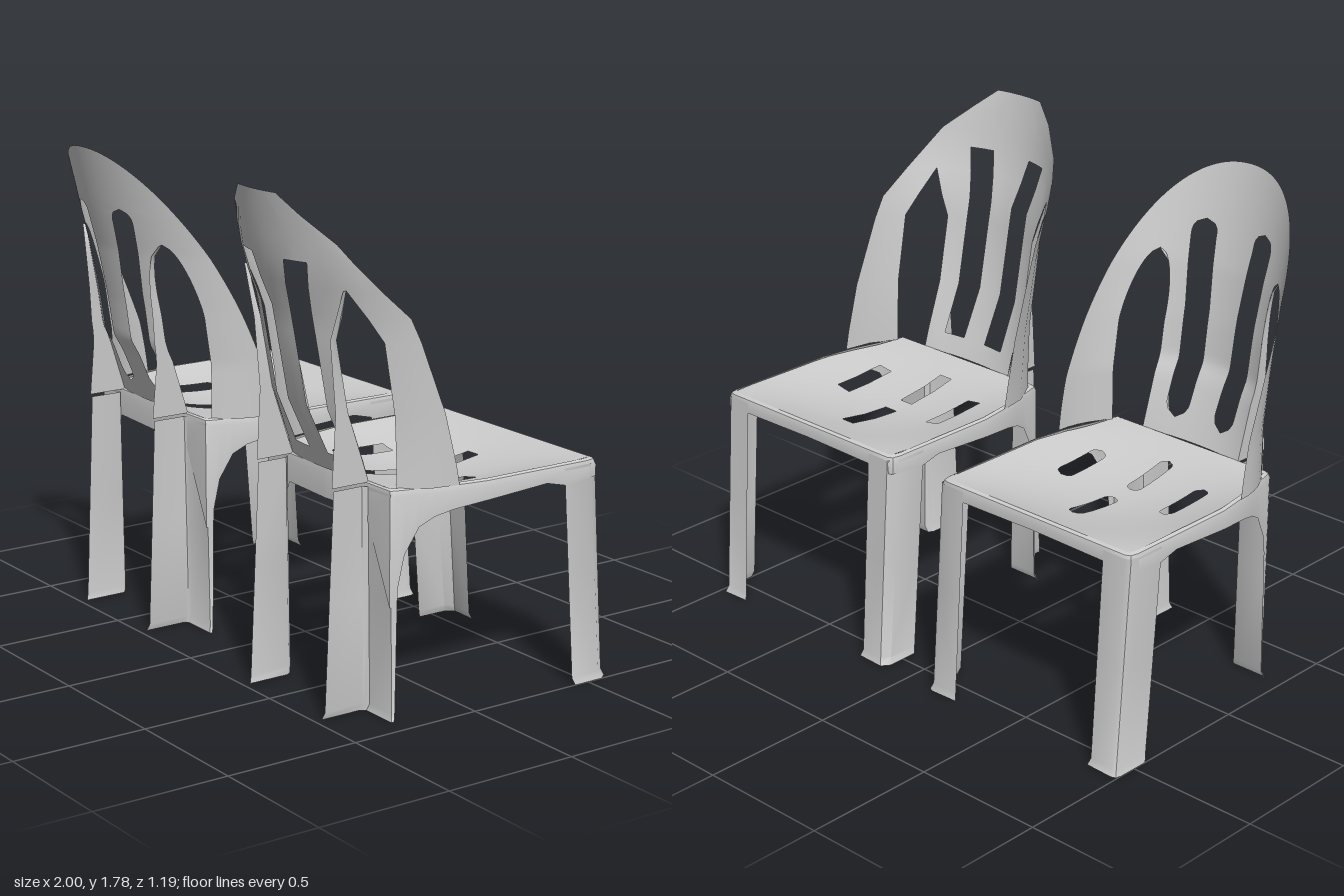
import * as THREE from 'three';
import { toCreasedNormals } from 'three/addons/utils/BufferGeometryUtils.js';

const material = new THREE.MeshStandardMaterial({ color: 0xcccccc, side: THREE.DoubleSide });

// Piecewise-linear lookup in a [[key, value], ...] table
function lerpTable(table, v) {
  if (v <= table[0][0]) return table[0][1];
  for (let i = 1; i < table.length; i++) {
    const [k0, v0] = table[i - 1], [k1, v1] = table[i];
    if (v <= k1) return v0 + (v1 - v0) * (v - k0) / (k1 - k0);
  }
  return table[table.length - 1][1];
}

function meshFrom(positions, name) {
  const g = new THREE.BufferGeometry();
  g.setAttribute('position', new THREE.Float32BufferAttribute(positions, 3));
  const mesh = new THREE.Mesh(toCreasedNormals(g, 0.75), material);
  mesh.name = name;
  return mesh;
}

function pushQuad(out, a, b, c, d) {
  out.push(...a, ...b, ...c, ...a, ...c, ...d);
}

// Surface through rows of points
function ribbon(rows, name) {
  const out = [];
  for (let i = 0; i + 1 < rows.length; i++)
    for (let j = 0; j + 1 < rows[i].length; j++)
      pushQuad(out, rows[i][j], rows[i][j + 1], rows[i + 1][j + 1], rows[i + 1][j]);
  return meshFrom(out, name);
}

// Mirrored panel: columns run from the middle to the rim, some strips are open between rows
function panel(rows, columnsAt, isOpen, place, sub, name) {
  const out = [];
  for (let r = 0; r + 1 < rows.length; r++) {
    const v0 = rows[r], v1 = rows[r + 1], c0 = columnsAt(v0), c1 = columnsAt(v1);
    for (let s = 0; s + 1 < c0.length; s++) {
      if (isOpen(s, (v0 + v1) / 2)) continue;
      for (let k = 0; k < sub; k++) {
        const at = (c, f) => c[s] + (c[s + 1] - c[s]) * f / sub;
        const q = [place(at(c0, k), v0), place(at(c0, k + 1), v0), place(at(c1, k + 1), v1), place(at(c1, k), v1)];
        pushQuad(out, ...q);
        const m = q.map(([x, y, z]) => [-x, y, z]);
        pushQuad(out, m[1], m[0], m[3], m[2]);
      }
    }
  }
  return meshFrom(out, name);
}

// Half width of a slot running from a to b, with rounded or square ends
function slotHalf(v, a, b, half, round) {
  if (v < a - 1e-6 || v > b + 1e-6) return round ? 0 : half;
  if (!round) return half;
  const d = Math.min(v - a, b - v);
  return d >= half ? half : Math.sqrt(Math.max(0, half * half - (half - d) ** 2));
}

const steps = (n, f) => Array.from({ length: n + 1 }, (_, i) => f(i / n));

function addBackrest(chair, fine) {
  const angle = x => Math.asin(Math.min(1, x / 0.42));
  const lean = fine
    ? [[0.8, 0.42], [1, 0.42], [1.2, 0.45], [1.4, 0.487], [1.55, 0.525], [1.775, 0.58]]
    : [[0.8, 0.42], [1, 0.42], [1.37, 0.485], [1.52, 0.54], [1.785, 0.595]];
  // The plan is an ellipse arc; the middle swings forward to meet the seat
  const place = (t, y) => {
    const low = Math.max(0, Math.min(1, (1.06 - y) / 0.26));
    const swing = t < 0.8 ? 0.115 * low * (1 - t * t) : 0;
    return [0.42 * Math.sin(t), y, lerpTable(lean, y) - 0.36 * (1 - Math.cos(t)) - swing];
  };
  const rim = y => fine
    ? 1.57 * Math.pow(Math.max(0, 1 - Math.pow((y - 0.8) / 0.975, 1.3)), 0.457)
    : lerpTable([[0.8, 1.57], [1.37, 1.25], [1.63, 0.75], [1.785, 0.26]], y);
  const slotTop = 1.56, openTop = fine ? 1.44 : 1.475;
  const opening = y => {
    const t = Math.max(0, Math.min(1, fine ? (y - 1.18) / 0.26 : (y - 1.3) / 0.175));
    const h = 0.0625 * (fine ? Math.sqrt(1 - t * t) : 1 - t);
    const c = 0.2825 + (fine ? -0.018 : 0.002) * t;
    return [c - h, c + h];
  };
  const limit = [0, 0.45, 0.55, 0.85, 0.92, 1];
  const columns = y => {
    const c = fine ? lerpTable([[0.87, 0.105], [1.25, 0.11], [1.5, 0.13]], y)
      : lerpTable([[1.38, 0.1], [1.56, 0.1375]], y);
    const h = slotHalf(y, 0.87, slotTop, 0.046, fine);
    const edge = rim(y);
    return [0, angle(c - h), angle(c + h), ...opening(y).map(angle), edge]
      .map((t, i) => Math.min(t, edge * limit[i]));
  };
  const rows = fine ? steps(72, f => 0.8 + 0.975 * Math.sin(f * Math.PI / 2))
    : [0.8, 0.87, 1.05, 1.3, 1.38, 1.475, 1.56, 1.63, 1.72, 1.785];
  const isOpen = (s, y) => (s === 1 && y > 0.87 && y < slotTop) || (s === 3 && y < openTop);
  chair.add(panel(rows, columns, isOpen, place, fine ? 5 : 2, 'backrest'));

  // Stiffening flange behind each edge of the middle panel
  const depth = [[0.8, 0.15], [1.05, 0.05], [1.44, 0.012]];
  const flangeRows = (fine ? steps(16, f => 0.8 + 0.64 * f) : [0.8, 1.05, 1.3, 1.475]).map(y => {
    const [x, , z] = place(angle(opening(y)[0]), y);
    return [[x, y, z], [x, y, z + lerpTable(depth, y)]];
  });
  addPair(chair, () => ribbon(flangeRows, 'backFlange'));
}

// Adds a part and its mirror image
function addPair(chair, make) {
  for (const side of [1, -1]) {
    const part = make();
    part.name = (side > 0 ? 'left ' : 'right ') + part.name;
    part.scale.x = side;
    chair.add(part);
  }
}

function addSeat(chair, fine) {
  const width = [[-0.53, 0.425], [-0.49, 0.44], [-0.05, 0.44], [0.08, 0.42], [0.29, 0.36]];
  const middle = [[-0.33, -0.11], [-0.03, 0.18]], outer = [-0.13, 0.09];
  const inside = (z, [a, b]) => z > a && z < b;
  const columns = z => {
    const m = z < -0.07 ? middle[0] : middle[1];
    const h0 = slotHalf(z, ...m, 0.028, fine), h1 = slotHalf(z, ...outer, 0.03, fine);
    return [0, h0, 0.235 - h1, 0.235 + h1, lerpTable(width, z) * 0.955];
  };
  const isOpen = (s, z) => (s === 0 && middle.some(m => inside(z, m))) || (s === 2 && inside(z, outer));
  // Shallow dish
  const place = (x, z) => {
    const a = x / 0.43, b = (z + 0.11) / 0.4;
    return [x, 0.805 - 0.075 * Math.max(0, 1 - a * a) * Math.max(0, 1 - b * b), z];
  };
  const rows = fine ? steps(80, f => -0.51 + 0.8 * f)
    : [-0.51, -0.42, -0.33, -0.22, -0.13, -0.11, -0.03, 0.09, 0.18, 0.24, 0.29];
  chair.add(panel(rows, columns, isOpen, place, fine ? 5 : 3, 'seat'));

  // Skirt under the seat edge: x, z and lower height, from front middle to rear middle
  const path = [[0, -0.53, 0.755], [0.32, -0.53, 0.75], [0.415, -0.53, 0.74], [0.433, -0.52, 0.74],
    [0.44, -0.49, 0.74], [0.44, -0.38, 0.73], [0.44, -0.3, 0.75], [0.44, -0.05, 0.735], [0.42, 0.08, 0.72],
    [0.4, 0.15, 0.7], [0.385, 0.2, 0.67], [0.372, 0.25, 0.58], [0.362, 0.285, 0.4], [0.355, 0.298, 0.4],
    [0.22, 0.3, 0.7], [0, 0.305, 0.695]];
  addPair(chair, () => ribbon([
    path.map(([x, z]) => [x * 0.955, 0.805, z * 0.962]),
    path.map(([x, z]) => [x * 0.985, 0.8, z * 0.988]),
    path.map(([x, z]) => [x, 0.78, z]),
    path.map(([x, z, y]) => [x, y, z]),
  ], 'seatSkirt'));
}

// Angle-section leg between a foot path and a top path of [x, z] points, with a flared foot
function leg(foot, top, name) {
  const section = (y, flare) => foot.map(([x, z], i) => {
    const t = y / 0.79;
    return [x + (top[i][0] - x) * t + flare * Math.sign(x - 0.33), y, z + (top[i][1] - z) * t + flare * Math.sign(z)];
  });
  return ribbon([section(0, 0.008), section(0.025, 0), section(0.4, 0), section(0.79, 0)], name);
}

function createChair(fine) {
  const chair = new THREE.Group();
  addBackrest(chair, fine);
  addSeat(chair, fine);
  const pick = list => fine ? list : list.filter((_, i) => i !== 2);
  addPair(chair, () => leg(
    pick([[0.32, -0.58], [0.415, -0.585], [0.432, -0.578], [0.437, -0.555], [0.437, -0.435]]),
    pick([[0.32, -0.53], [0.415, -0.53], [0.433, -0.52], [0.44, -0.49], [0.44, -0.375]]), 'frontLeg'));
  addPair(chair, () => leg(
    pick([[0.222, 0.465], [0.222, 0.305], [0.225, 0.295], [0.235, 0.288], [0.36, 0.288], [0.365, 0.28]]),
    pick([[0.22, 0.43], [0.22, 0.315], [0.223, 0.305], [0.235, 0.3], [0.355, 0.298], [0.362, 0.265]]), 'rearLeg'));
  return chair;
}

export function createModel() {
  const model = new THREE.Group();
  model.name = 'chairs';
  const smooth = createChair(true), faceted = createChair(false);
  smooth.name = 'smoothChair';
  faceted.name = 'facetedChair';
  smooth.position.x = -0.555;
  faceted.position.x = 0.555;
  model.add(smooth, faceted);
  return model;
}
